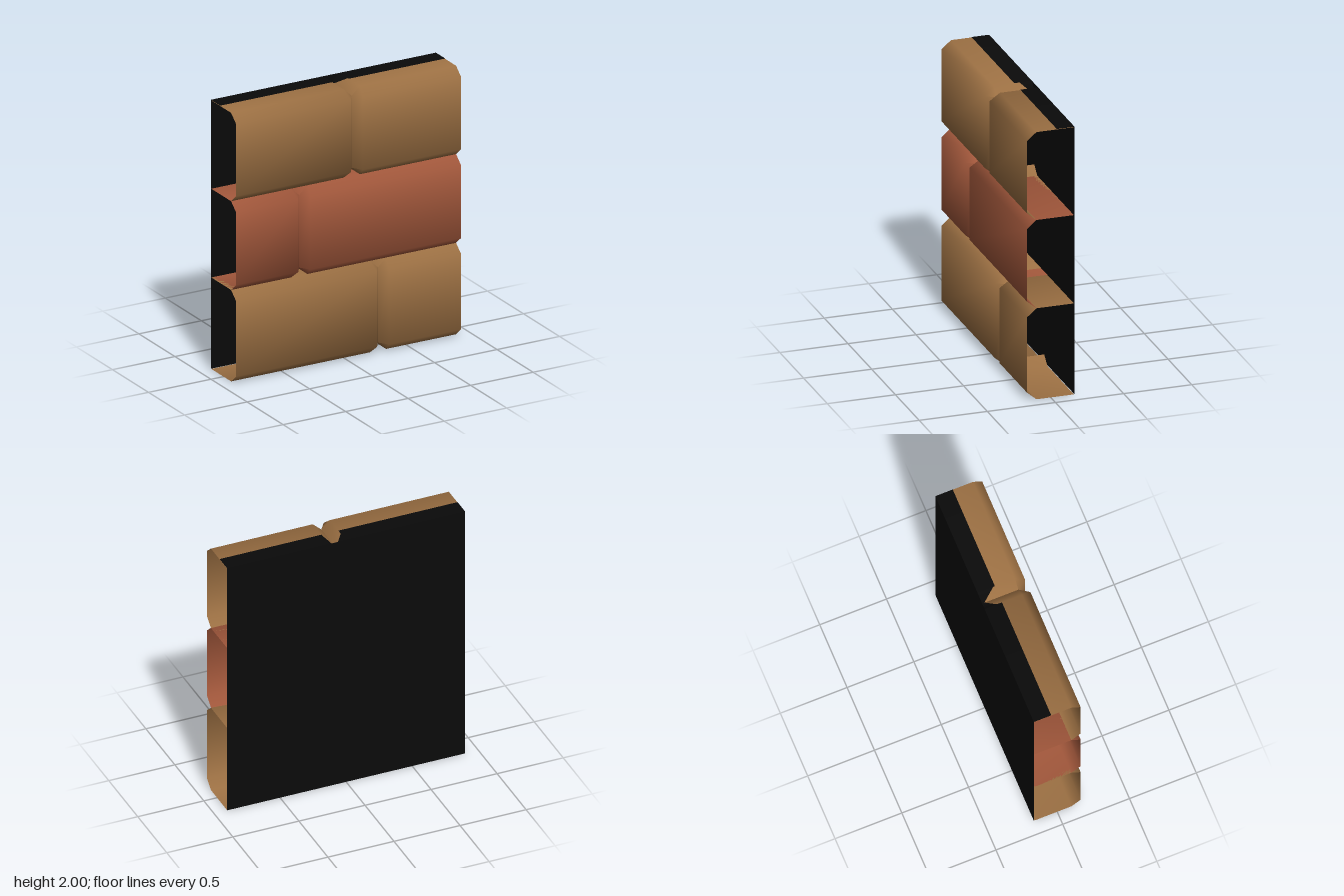
import * as THREE from 'three';

const HALF = 0.9, BACK = -0.175, EDGE = 0.105, FRONT = 0.175, CUT = 0.06;

// Joins cross-sections (arrays of [x, y, z]) into a sheet. Each vertex normal
// is the even average of the faces around it, which gives a soft, pillowy look.
function loft(sections) {
  const n = sections[0].length;
  const points = sections.flat().map((p) => new THREE.Vector3(...p));
  const normals = points.map(() => new THREE.Vector3());
  const index = [];
  for (let i = 0; i < sections.length - 1; i++) {
    for (let j = 0; j < n - 1; j++) {
      const a = i * n + j, b = a + n, c = b + 1, d = a + 1;
      index.push(a, b, c, a, c, d);
      const face = points[c].clone().sub(points[a])
        .cross(points[d].clone().sub(points[b])).normalize();
      for (const k of [a, b, c, d]) normals[k].add(face);
    }
  }
  const geometry = new THREE.BufferGeometry().setFromPoints(points);
  const flat = normals.flatMap((v) => v.normalize().toArray());
  geometry.setAttribute('normal', new THREE.Float32BufferAttribute(flat, 3));
  geometry.setIndex(index);
  return geometry;
}

// Full brick outline, from the back of its underside round to the back of its top
function brickSection(x, xFront, y0, y1) {
  return [
    [x, y0, BACK + 0.005], [x, y0, EDGE], [xFront, y0 + CUT, FRONT],
    [xFront, y1 - CUT, FRONT], [x, y1, EDGE], [x, y1, BACK + 0.005],
  ];
}

// Outline at the joint, where the bevels and cut corners meet
function jointSection(x, y0, y1) {
  const lo = y0 + CUT, hi = y1 - CUT;
  return [
    [x, lo, BACK + 0.005], [x, lo, EDGE], [x, lo, EDGE],
    [x, hi, EDGE], [x, hi, EDGE], [x, hi, BACK + 0.005],
  ];
}

export function createModel() {
  const group = new THREE.Group();
  const material = (name, color) => {
    const m = new THREE.MeshStandardMaterial({ color, side: THREE.DoubleSide });
    m.name = name;
    return m;
  };
  const tan = material('tan brick', 0x9c7043);
  const red = material('red brick', 0xa1573b);
  const black = material('black backing', 0x0a0a0a);
  const add = (name, geometry, mat) => {
    const mesh = new THREE.Mesh(geometry, mat);
    mesh.name = name;
    group.add(mesh);
    return mesh;
  };

  // Three courses, each of two hollow bricks meeting at a V joint
  const courses = [
    { name: 'bottom', y0: 0, y1: 0.68, joint: 0.275, mat: tan },
    { name: 'middle', y0: 0.68, y1: 1.34, joint: -0.355, mat: red },
    { name: 'top', y0: 1.34, y1: 1.997, joint: 0.065, mat: tan },
  ];
  for (const { name, y0, y1, joint, mat } of courses) {
    const seam = jointSection(joint, y0, y1);
    add(name + 'BrickRight', loft([
      brickSection(-HALF, -HALF, y0, y1),
      brickSection(joint - 0.065, joint - 0.048, y0, y1),
      seam,
    ]), mat);
    add(name + 'BrickLeft', loft([
      seam,
      brickSection(joint + 0.065, joint + 0.048, y0, y1),
      brickSection(HALF, HALF, y0, y1),
    ]), mat);
  }

  // Flat backing sheet
  add('backing', new THREE.PlaneGeometry(HALF * 2, 2), black).position.set(0, 1, BACK);

  // Thin strip of backing folded over the top, dipping into the joint: [x, y, front z]
  const fold = [
    [-HALF, 2, -0.045], [0, 2, -0.045], [0.002, 1.999, -0.085], [0.065, 1.941, -0.15],
    [0.128, 1.999, -0.06], [0.13, 2, -0.045], [HALF, 2, -0.045],
  ];
  add('backingFold', loft(fold.map(([x, y, z]) => [[x, y, z], [x, y, BACK]])), black);

  return group;
}
